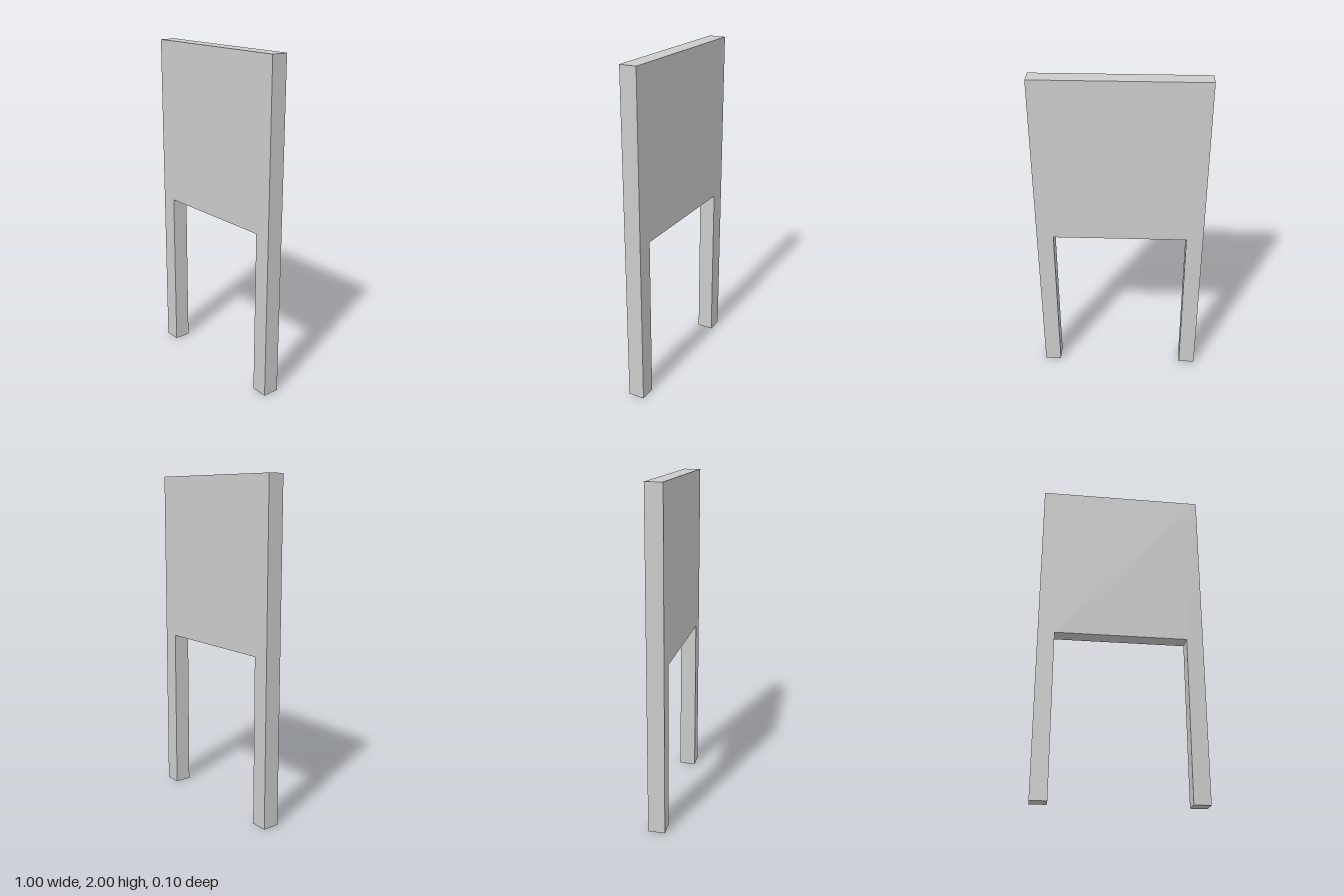
import * as THREE from 'three';

const WIDTH = 1, HEIGHT = 2, DEPTH = 0.1;
const LEG_WIDTH = 0.1, LEG_HEIGHT = 1;

export function createModel() {
  const group = new THREE.Group();
  group.name = 'panelOnLegs';
  const material = new THREE.MeshStandardMaterial({ color: 0xcccccc });

  // Panel and both legs are one flush board: trace its outline and extrude it
  const half = WIDTH / 2, inner = half - LEG_WIDTH;
  const outline = new THREE.Shape([
    [-half, 0], [-inner, 0], [-inner, LEG_HEIGHT], [inner, LEG_HEIGHT],
    [inner, 0], [half, 0], [half, HEIGHT], [-half, HEIGHT],
  ].map(([x, y]) => new THREE.Vector2(x, y)));

  const geometry = new THREE.ExtrudeGeometry(outline, { depth: DEPTH, bevelEnabled: false });
  geometry.translate(0, 0, -DEPTH / 2);

  const board = new THREE.Mesh(geometry, material);
  board.name = 'panelWithLegs';
  group.add(board);
  return group;
}
